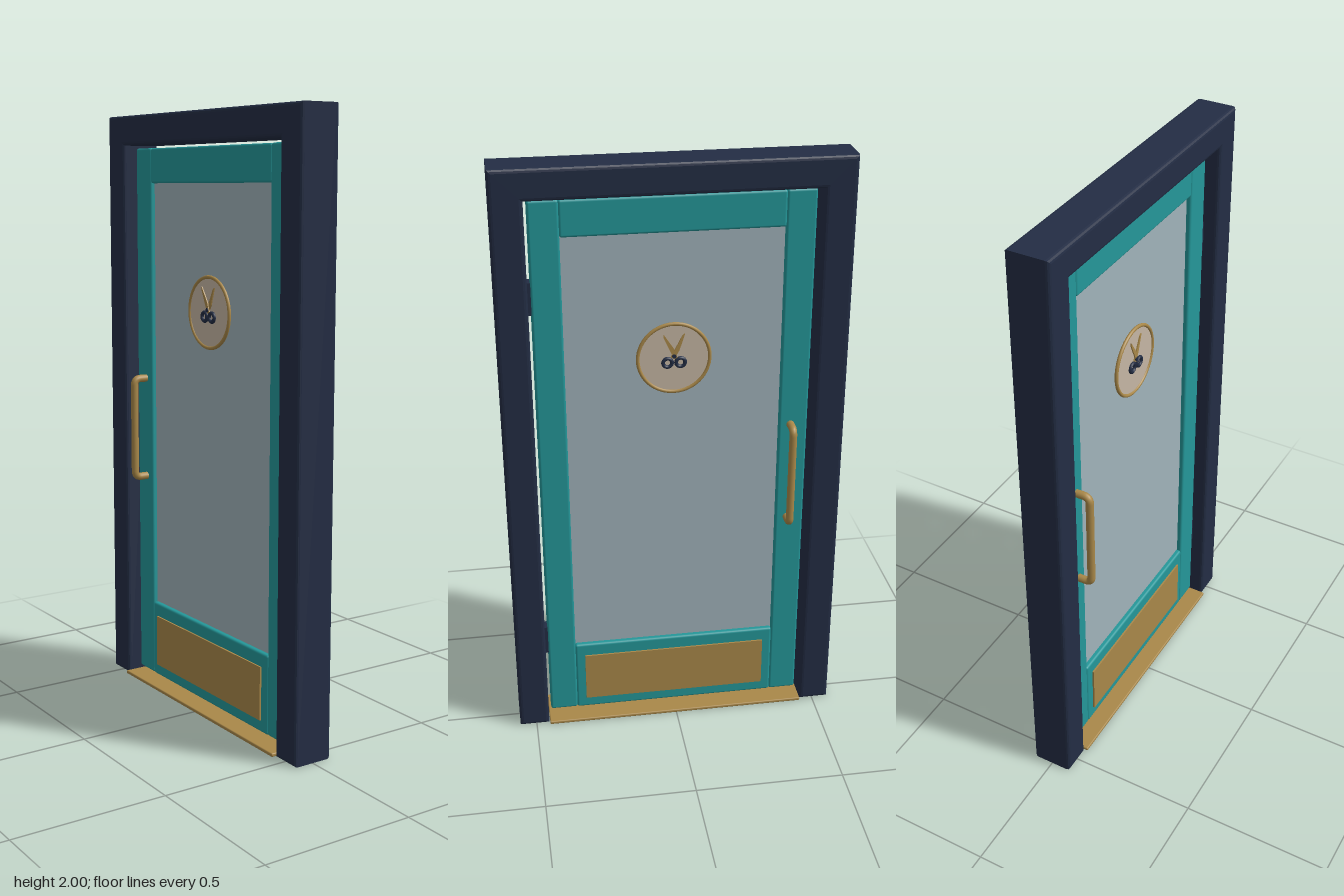
import * as THREE from 'three';
import { RoundedBoxGeometry } from 'three/addons/geometries/RoundedBoxGeometry.js';

const paint = (name, color) => {
  const m = new THREE.MeshStandardMaterial({ color });
  m.name = name;
  return m;
};

export function createModel() {
  const navy = paint('navy paint', 0x232d44);
  const teal = paint('teal paint', 0x249799);
  const brass = paint('brass', 0xa98849);
  const glass = paint('pale glass', 0xa0b3ba);
  const cream = paint('cream enamel', 0xc5b6a4);

  const model = new THREE.Group();
  model.name = 'door';

  const add = (parent, name, geometry, material, x = 0, y = 0, z = 0) => {
    const mesh = new THREE.Mesh(geometry, material);
    mesh.name = name;
    mesh.position.set(x, y, z);
    parent.add(mesh);
    return mesh;
  };
  const rounded = (w, h, d, r) => new RoundedBoxGeometry(w, h, d, 3, r);

  // Door surround: one bevelled arch, open at the bottom
  const bevel = 0.012, depth = 0.14;
  const outline = new THREE.Shape([
    [-0.557, 0], [-0.455, 0], [-0.455, 1.9], [0.455, 1.9],
    [0.455, 0], [0.557, 0], [0.557, 2], [-0.557, 2],
  ].map(([x, y]) => new THREE.Vector2(x, y)));
  const surround = new THREE.ExtrudeGeometry(outline, {
    depth: depth - 2 * bevel, bevelSize: bevel, bevelThickness: bevel,
    bevelOffset: -bevel, bevelSegments: 3,
  });
  surround.translate(0, 0, -depth / 2 + bevel).rotateY(-Math.PI / 2);
  add(model, 'frame', surround, navy);

  add(model, 'threshold', rounded(0.16, 0.012, 0.905, 0.004), brass, 0, 0.006, 0);

  // Door leaf: two stiles, two rails and a pane
  const thick = 0.05, face = thick / 2;
  for (const s of [1, -1]) {
    add(model, s > 0 ? 'hingeStile' : 'latchStile',
      rounded(thick, 1.865, 0.095, 0.008), teal, 0, 0.9575, s * 0.3965);
  }
  add(model, 'topRail', rounded(thick, 0.117, 0.7, 0.008), teal, 0, 1.8305, 0);
  add(model, 'bottomRail', rounded(thick, 0.266, 0.7, 0.008), teal, 0, 0.157, 0);
  add(model, 'glassPane', new THREE.BoxGeometry(0.016, 1.5, 0.7), glass, 0, 1.032, 0);

  // Hinges in the gap beside the leaf
  for (const y of [0.32, 1.58]) {
    add(model, 'hinge', new THREE.BoxGeometry(0.04, 0.105, 0.016), navy, 0, y, 0.45);
  }

  // Pull handle path: out from the stile, up, and back in
  const reach = 0.073, low = 0.747, high = 1.097, bend = 0.022;
  const v = (x, y) => new THREE.Vector3(x, y, 0);
  const pull = new THREE.CurvePath();
  pull.add(new THREE.LineCurve3(v(0.018, low), v(reach - bend, low)));
  pull.add(new THREE.QuadraticBezierCurve3(v(reach - bend, low), v(reach, low), v(reach, low + bend)));
  pull.add(new THREE.LineCurve3(v(reach, low + bend), v(reach, high - bend)));
  pull.add(new THREE.QuadraticBezierCurve3(v(reach, high - bend), v(reach, high), v(reach - bend, high)));
  pull.add(new THREE.LineCurve3(v(reach - bend, high), v(0.018, high)));
  const pullGeometry = new THREE.TubeGeometry(pull, 90, 0.013, 14);

  // Tapered scissor blade, slightly flattened
  const bladeShape = new THREE.Shape([
    [-0.006, -0.012], [0.006, -0.012], [0.009, 0.02], [0.001, 0.08], [-0.004, 0.07],
  ].map(([x, y]) => new THREE.Vector2(x, y)));
  const blade = new THREE.ExtrudeGeometry(bladeShape, { depth: 0.004, bevelEnabled: false });

  // Fittings repeated on both faces
  for (const s of [1, -1]) {
    const fittings = new THREE.Group();
    fittings.name = s > 0 ? 'leftFaceFittings' : 'rightFaceFittings';
    model.add(fittings);

    add(fittings, 'kickPlate', new THREE.BoxGeometry(0.006, 0.18, 0.634), brass,
      s * (face + 0.003), 0.155, 0);

    const handle = add(fittings, 'pullHandle', pullGeometry, brass, 0, 0, -0.387);
    handle.rotation.y = s > 0 ? 0 : Math.PI;

    // Round sign with a pair of scissors
    const sign = new THREE.Group();
    sign.name = 'roundSign';
    sign.position.set(s * 0.008, 1.355, 0);
    sign.rotation.y = s * Math.PI / 2;
    fittings.add(sign);
    const disc = add(sign, 'signDisc', new THREE.CylinderGeometry(0.116, 0.116, 0.008, 48), cream, 0, 0, 0.004);
    disc.rotation.x = Math.PI / 2;
    add(sign, 'signRim', new THREE.TorusGeometry(0.116, 0.006, 10, 56), brass, 0, 0, 0.007);
    for (const t of [1, -1]) {
      const b = add(sign, 'scissorBlade', blade, brass, 0, 0.012, t > 0 ? 0.008 : 0.011);
      b.rotation.z = -t * 0.45;
      add(sign, 'scissorLoop', new THREE.TorusGeometry(0.0145, 0.0062, 8, 24), navy, t * 0.021, -0.014, 0.011);
    }
    const pivot = add(sign, 'scissorPivot', new THREE.CylinderGeometry(0.007, 0.007, 0.01, 16), navy, 0, 0.009, 0.012);
    pivot.rotation.x = Math.PI / 2;
  }

  return model;
}
